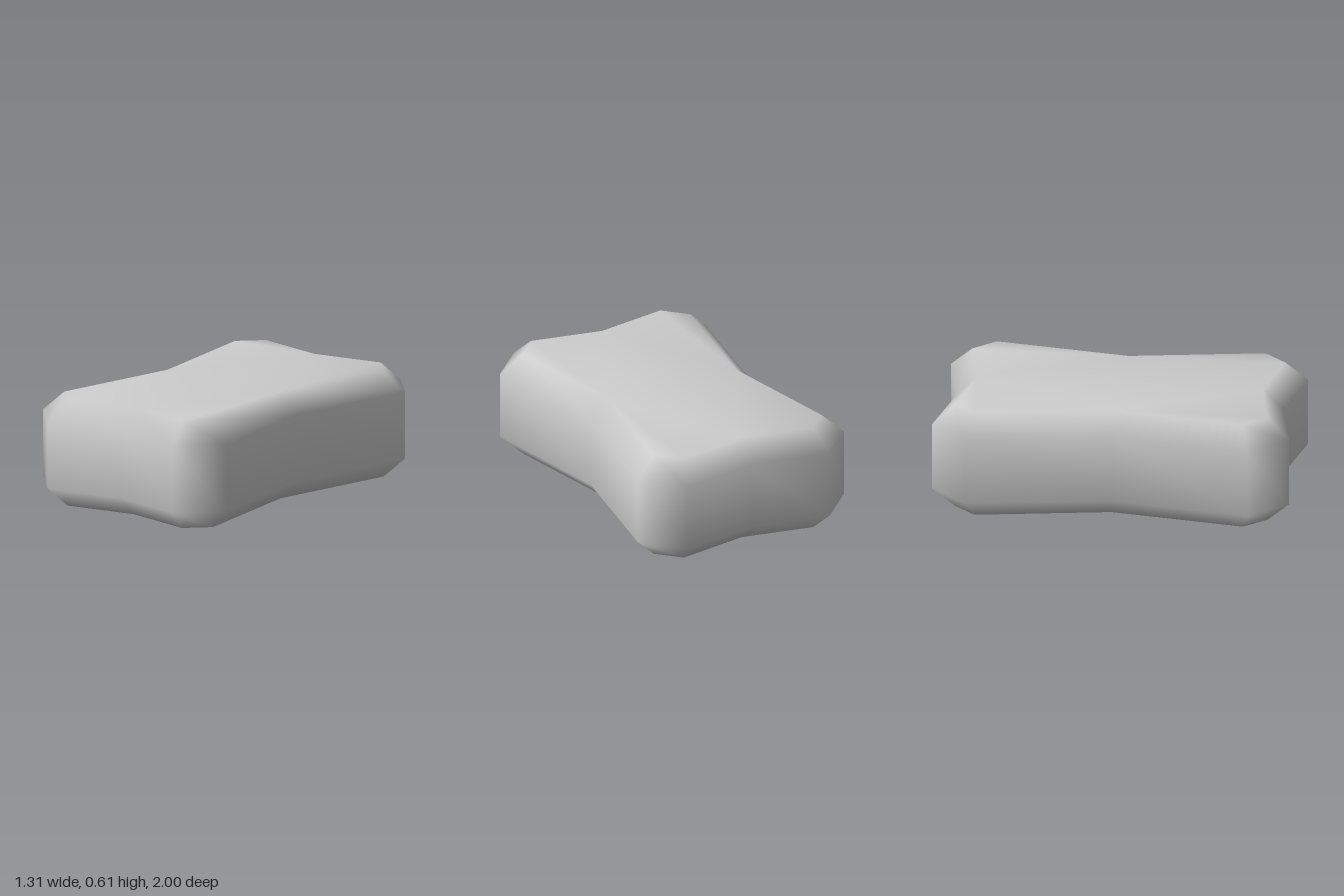
import * as THREE from 'three';
import { mergeVertices } from 'three/addons/utils/BufferGeometryUtils.js';

const HEIGHT = 0.61;
const BEVEL = 0.114;

// One quarter of the waisted outline, from the side waist to the front notch
const quarter = [[0.52, 0], [0.655, 0.79], [0.45, 1], [0, 0.915]];

function createOutline() {
  const [waist, side, end, notch] = quarter;
  const points = [];
  for (const [sx, sz] of [[1, 1], [-1, 1], [-1, -1], [1, -1]]) {
    // Each quadrant starts at the point the previous one stopped at
    const run = sx * sz > 0 ? [waist, side, end] : [notch, end, side];
    for (const [x, z] of run) points.push(new THREE.Vector2(x * sx, z * sz));
  }
  return new THREE.Shape(points);
}

export function createModel() {
  const grey = new THREE.MeshStandardMaterial({ color: 0xcccccc });
  grey.name = 'light grey';

  // Block with a single chamfer around its top and bottom rims
  let geometry = new THREE.ExtrudeGeometry(createOutline(), {
    depth: HEIGHT - 2 * BEVEL,
    bevelEnabled: true,
    bevelThickness: BEVEL,
    bevelSize: BEVEL,
    bevelOffset: -BEVEL,
    bevelSegments: 1,
  });
  geometry.rotateX(-Math.PI / 2);
  geometry.translate(0, BEVEL, 0);

  // Weld all corners so the shading runs smoothly over every edge
  geometry.deleteAttribute('uv');
  geometry.deleteAttribute('normal');
  geometry.clearGroups();
  geometry = mergeVertices(geometry, 1e-4);
  geometry.computeVertexNormals();

  const block = new THREE.Mesh(geometry, grey);
  block.name = 'waistedBlock';

  const model = new THREE.Group();
  model.name = 'softBlock';
  model.add(block);
  return model;
}
